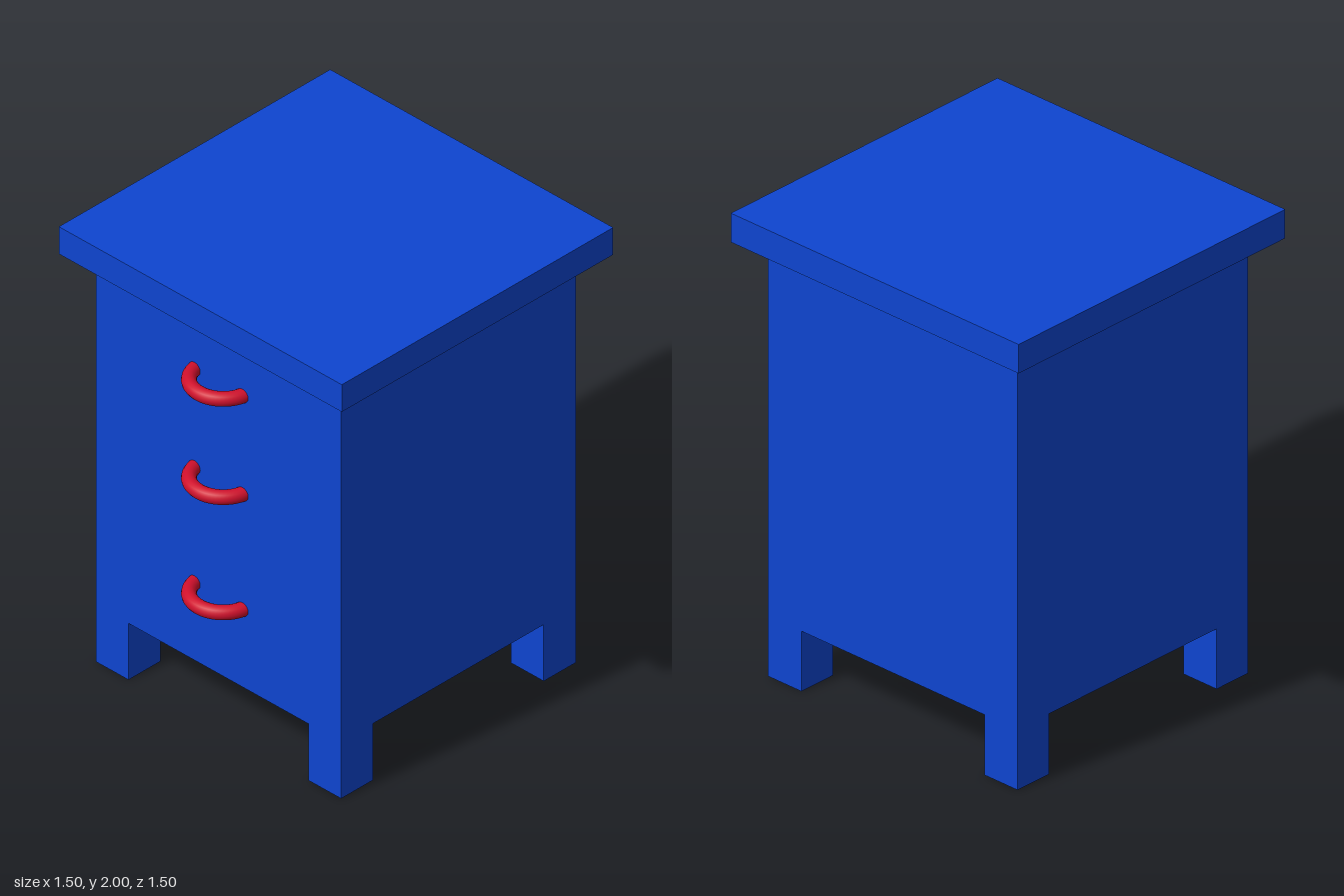
import * as THREE from 'three';

export function createModel() {
  const model = new THREE.Group();
  model.name = 'drawerCabinet';
  const blue = new THREE.MeshStandardMaterial({ color: 0x0e45d0 });
  const red = new THREE.MeshStandardMaterial({ color: 0xd0102c });

  // Box given by its lower and upper corners
  function box(name, [x0, y0, z0], [x1, y1, z1]) {
    const mesh = new THREE.Mesh(new THREE.BoxGeometry(x1 - x0, y1 - y0, z1 - z0), blue);
    mesh.position.set((x0 + x1) / 2, (y0 + y1) / 2, (z0 + z1) / 2);
    mesh.name = name;
    model.add(mesh);
  }

  // Cabinet body and overhanging top
  box('body', [-0.617, 0.26, -0.65], [0.65, 1.875, 0.65]);
  box('tabletop', [-0.715, 1.875, -0.75], [0.75, 2, 0.75]);

  // Four square legs flush with the body corners
  const legSize = 0.173;
  for (const x of [-0.617, 0.65 - legSize]) {
    for (const z of [-0.65, 0.65 - legSize]) {
      box('leg', [x, 0, z], [x + legSize, 0.26, z + legSize]);
    }
  }

  // Half-ring pulls on the drawer side, ends sunk into the body
  const pull = new THREE.TorusGeometry(0.13, 0.03, 16, 32, Math.PI);
  pull.rotateZ(Math.PI / 2).rotateX(Math.PI / 2);
  for (const y of [0.618, 1.148, 1.6]) {
    const handle = new THREE.Mesh(pull, red);
    handle.position.set(-0.591, y, 0);
    handle.name = 'handle';
    model.add(handle);
  }
  return model;
}
